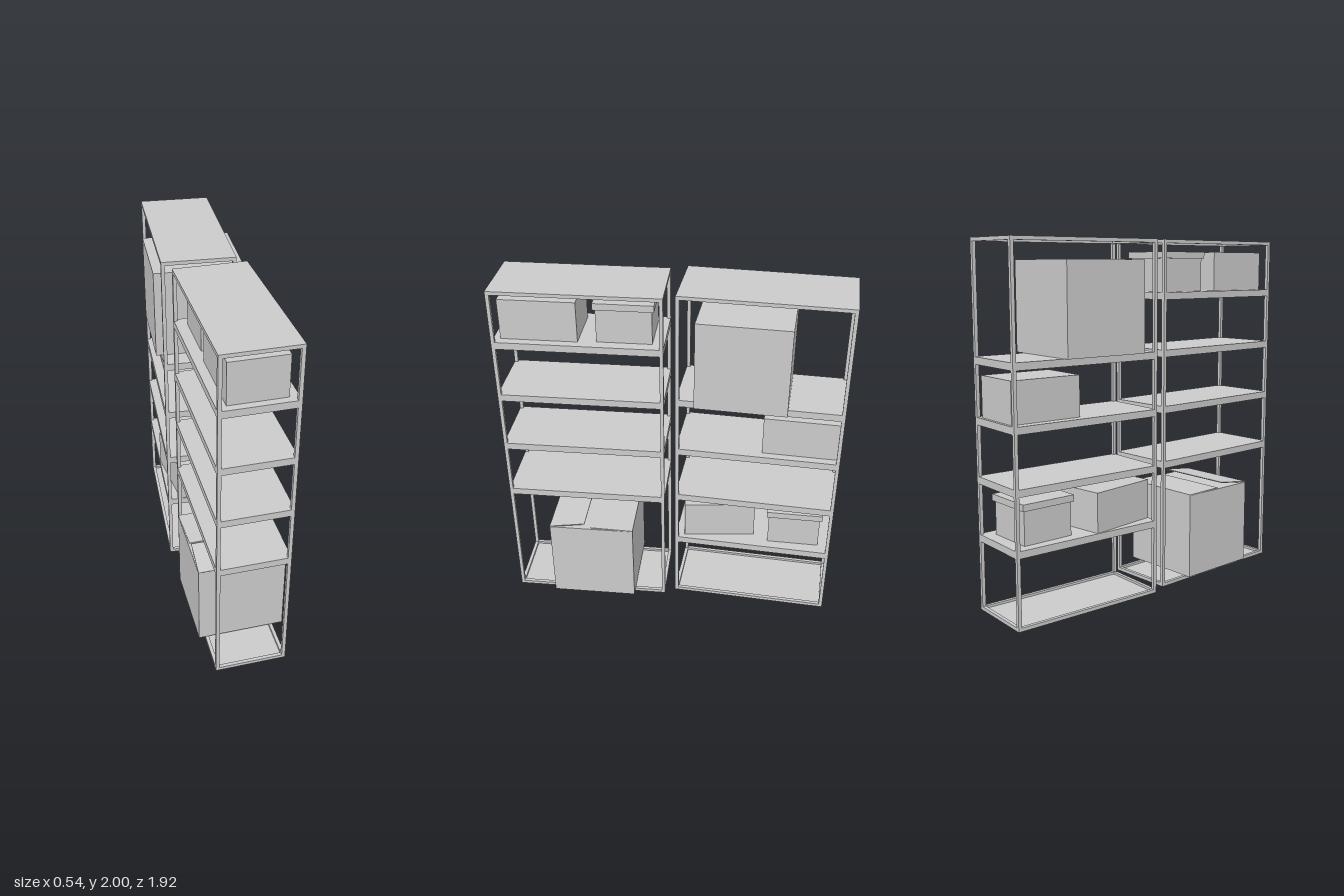
import * as THREE from 'three';

const material = new THREE.MeshStandardMaterial({ color: 0xcccccc, flatShading: true });

const W = 0.4, D = 0.915, H = 2, BAR = 0.02; // rack width, depth, height, post size

// Axis-aligned box; y is its underside
function block(parent, name, w, h, d, x, y, z) {
  const mesh = new THREE.Mesh(new THREE.BoxGeometry(w, h, d), material);
  mesh.name = name;
  mesh.position.set(x, y + h / 2, z);
  parent.add(mesh);
  return mesh;
}

// Four rails between the posts
function rails(parent, y, h) {
  for (const s of [-1, 1]) {
    block(parent, 'sideRail', BAR, h, D - 2 * BAR, s * (W - BAR) / 2, y, 0);
    block(parent, 'endRail', W - 2 * BAR, h, BAR, 0, y, s * (D - BAR) / 2);
  }
}

// Open rack with corner posts, a base, a top and inner shelves
function makeRack(name, shelfHeights) {
  const rack = new THREE.Group();
  rack.name = name;
  for (const sx of [-1, 1])
    for (const sz of [-1, 1])
      block(rack, 'post', BAR, H, BAR, sx * (W - BAR) / 2, 0, sz * (D - BAR) / 2);

  const innerW = W - 2 * BAR, innerD = D - 2 * BAR;
  rails(rack, 0, BAR);
  block(rack, 'basePanel', innerW, 0.006, innerD, 0, 0, 0);
  rails(rack, H - BAR, BAR);
  block(rack, 'topPanel', innerW, 0.006, innerD, 0, H - 0.006, 0);
  for (const y of shelfHeights) {
    rails(rack, y, 0.04);
    block(rack, 'shelfPanel', innerW, 0.04, innerD, 0, y, 0);
  }
  return rack;
}

// Plain closed carton
function carton(rack, x, y, z, turn = 0) {
  block(rack, 'carton', 0.3, 0.225, 0.415, x, y, z).rotation.y = turn;
}

// Storage box with an overhanging lid
function liddedBox(rack, x, y, z, turn = 0) {
  const box = new THREE.Group();
  box.name = 'liddedBox';
  block(box, 'boxBody', 0.276, 0.19, 0.298, 0, 0, 0);
  block(box, 'boxLid', 0.3, 0.037, 0.322, 0, 0.188, 0);
  box.position.set(x, y, z);
  box.rotation.y = turn;
  rack.add(box);
}

// Thin flap hinged at its origin, running along +z and tapering to the free edge
function flap(parent, name, length) {
  const geometry = new THREE.BoxGeometry(0.496, 0.005, length).translate(0, 0, length / 2);
  const p = geometry.attributes.position;
  for (let i = 0; i < p.count; i++) if (p.getZ(i) > 0.01) p.setX(i, p.getX(i) * 0.965);
  geometry.computeVertexNormals();
  const mesh = new THREE.Mesh(geometry, material);
  mesh.name = name;
  parent.add(mesh);
  return mesh;
}

// Large carton with two top flaps, one slightly raised
function flappedCarton(rack, x, y, z) {
  const box = new THREE.Group();
  box.name = 'flappedCarton';
  block(box, 'cartonBody', 0.496, 0.5, 0.496, 0, 0, 0);
  const closed = flap(box, 'closedFlap', 0.25);
  closed.position.set(0, 0.5025, -0.248);
  const raised = flap(box, 'raisedFlap', 0.21);
  raised.position.set(0, 0.5025, 0.248);
  raised.rotation.set(-0.125, Math.PI, 0, 'YXZ');
  box.position.set(x, y, z);
  rack.add(box);
}

export function createModel() {
  const model = new THREE.Group();
  model.name = 'storageRacks';

  // Front rack and its load
  const front = makeRack('frontRack', [0.71, 1.03, 1.35, 1.67]);
  front.position.set(-0.01, 0, 0.502);
  carton(front, 0, 1.71, 0.21);
  liddedBox(front, 0, 1.71, -0.245);
  flappedCarton(front, 0.01, 0.024, -0.024);
  model.add(front);

  // Rear rack, turned slightly
  const rear = makeRack('rearRack', [0.39, 0.71, 1.03, 1.35]);
  rear.position.set(-0.015, 0, -0.486);
  rear.rotation.y = -0.076;
  block(rear, 'largeCarton', 0.5, 0.5, 0.5, 0.02, 1.39, 0.096);
  carton(rear, 0.004, 1.07, -0.233);
  carton(rear, -0.013, 0.43, 0.226, 0.176);
  liddedBox(rear, 0, 0.43, -0.235, 0.04);
  model.add(rear);

  return model;
}
